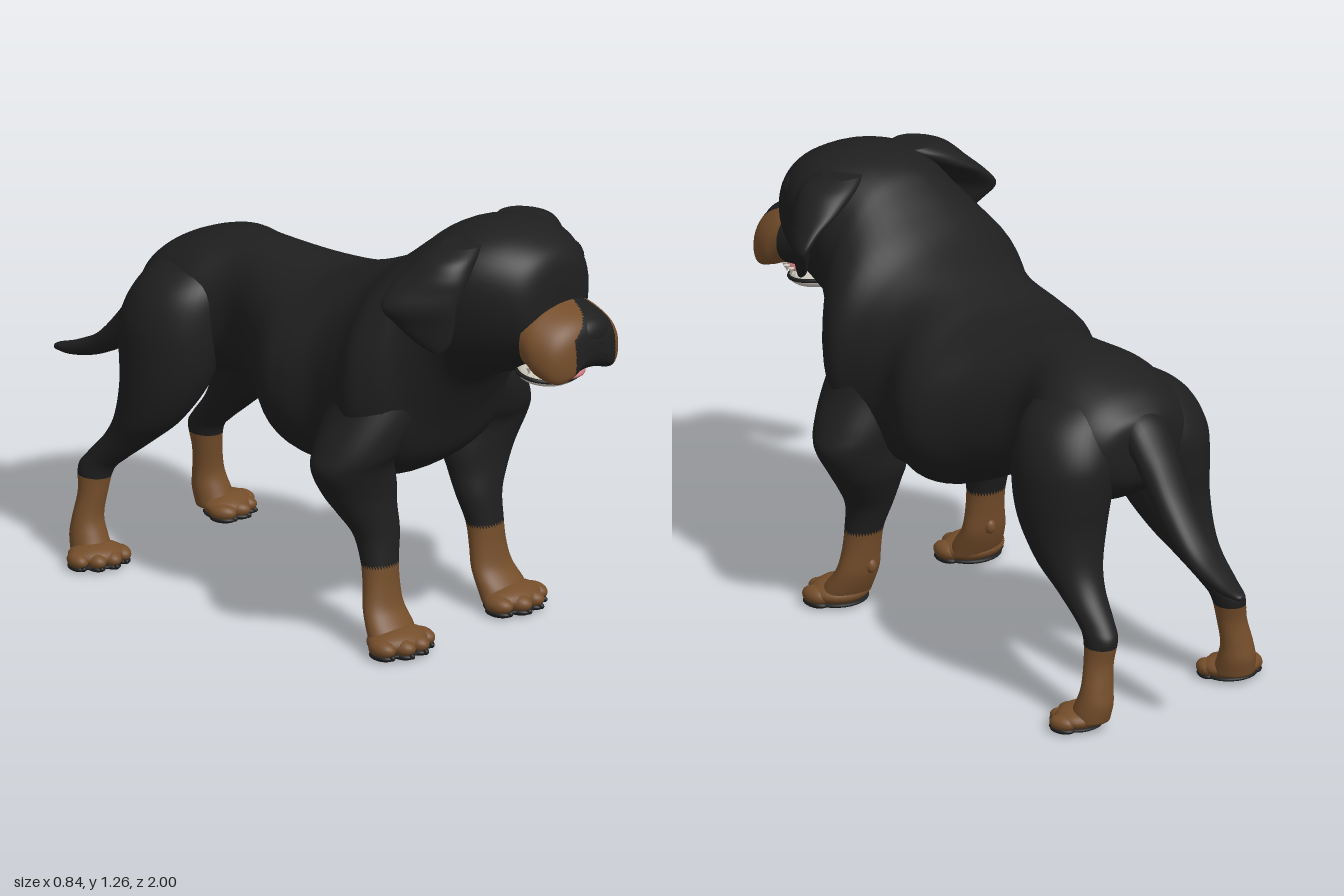
import * as THREE from 'three';

const mat = (name, color) => Object.assign(new THREE.MeshStandardMaterial({ color }), { name });

// Smoothly resamples a list of stations, each a row of numbers
function resample(rows, steps) {
  const out = [], n = rows.length - 1;
  for (let i = 0; i < n; i++) {
    const a = rows[Math.max(i - 1, 0)], b = rows[i], c = rows[i + 1], d = rows[Math.min(i + 2, n)];
    for (let k = 0; k < steps; k++) {
      const t = k / steps;
      out.push(b.map((v, j) => v + 0.5 * t * (c[j] - a[j] +
        t * (2 * a[j] - 5 * v + 4 * c[j] - d[j] + t * (3 * (v - c[j]) + d[j] - a[j])))));
    }
  }
  out.push(rows[n]);
  return out;
}

// Closed skin through rings; pick(centroid) gives the material index of a face
function skin(name, rows, ring, materials, pick = () => 0, sides = 40, steps = 6) {
  const list = resample(rows, steps), pos = [], faces = materials.map(() => []);
  for (const r of list) for (let j = 0; j < sides; j++) pos.push(...ring(r, (j / sides) * Math.PI * 2));
  const last = (list.length - 1) * sides;
  for (const start of [0, last]) {
    const c = [0, 0, 0];
    for (let j = 0; j < sides; j++) for (let k = 0; k < 3; k++) c[k] += pos[(start + j) * 3 + k] / sides;
    pos.push(...c);
  }
  const tri = (...v) => {
    const c = [0, 1, 2].map(k => (pos[v[0] * 3 + k] + pos[v[1] * 3 + k] + pos[v[2] * 3 + k]) / 3);
    faces[pick(c)].push(...v);
  };
  const endA = last + sides;
  for (let j = 0; j < sides; j++) {
    const m = (j + 1) % sides;
    tri(endA, m, j);
    tri(endA + 1, last + j, last + m);
    for (let i = 0; i < last; i += sides) {
      tri(i + j, i + m, i + sides + j);
      tri(i + m, i + sides + m, i + sides + j);
    }
  }
  const geo = new THREE.BufferGeometry();
  geo.setAttribute('position', new THREE.Float32BufferAttribute(pos, 3));
  geo.setIndex(faces.flat());
  let at = 0;
  faces.forEach((f, i) => { geo.addGroup(at, f.length, i); at += f.length; });
  geo.computeVertexNormals();
  const mesh = new THREE.Mesh(geo, materials);
  mesh.name = name;
  return mesh;
}

// Upright ring: [z, top, bottom, halfWidth, lowerBulge, centreX]
const slice = ([z, top, bottom, w, k, cx], a) => {
  const c = Math.cos(a), s = Math.sin(a);
  return [cx + w * Math.sign(c) * Math.abs(c) ** 0.88 * (1 - k * s),
    (top + bottom) / 2 + (top - bottom) / 2 * Math.sign(s) * Math.abs(s) ** 0.92, z];
};
// Level ring: [y, x, z, radiusX, radiusZ, turn], on side s
const level = s => ([y, x, z, rx, rz, turn = 0], a) => {
  const px = rx * Math.cos(a), pz = -rz * Math.sin(a), c = Math.cos(turn * s), n = Math.sin(turn * s);
  return [s * x + px * c + pz * n, y, z - px * n + pz * c];
};

function blob(name, material, p, r, tilt = 0) {
  const mesh = new THREE.Mesh(new THREE.SphereGeometry(1, 24, 16), material);
  mesh.name = name;
  mesh.position.set(...p);
  mesh.scale.set(...r);
  mesh.rotation.x = tilt;
  return mesh;
}

export function createModel() {
  const black = mat('black coat', 0x1f1f1f), tan = mat('tan markings', 0x754e2b);
  const pink = mat('tongue pink', 0xcf7d82), cream = mat('tooth cream', 0xd0ccc0);
  const dog = new THREE.Group();
  dog.name = 'dog';

  // Trunk, neck and skull
  dog.add(skin('body', [
    [-0.572, 0.86, 0.72, 0.07, 0, 0.025], [-0.55, 0.885, 0.66, 0.15, 0, 0.025],
    [-0.48, 0.935, 0.6, 0.21, 0, 0.025], [-0.35, 0.98, 0.57, 0.225, 0, 0.025],
    [-0.2, 0.99, 0.58, 0.168, 0, 0.02], [-0.05, 0.975, 0.53, 0.24, 0, 0.015],
    [0.07, 0.97, 0.47, 0.325, 0, 0.01], [0.15, 0.99, 0.44, 0.335, 0, 0.01],
    [0.25, 1.03, 0.432, 0.305, 0.02, 0], [0.35, 1.075, 0.44, 0.325, 0.03, 0],
    [0.43, 1.13, 0.47, 0.352, 0.03, 0], [0.5, 1.187, 0.53, 0.32, 0.06, 0],
    [0.552, 1.228, 0.65, 0.268, 0.02, 0], [0.62, 1.255, 0.77, 0.238, -0.08, 0.005],
    [0.7, 1.265, 0.812, 0.228, -0.18, 0.012], [0.78, 1.252, 0.845, 0.2, -0.18, 0.022],
    [0.85, 1.217, 0.9, 0.158, -0.1, 0.03], [0.882, 1.175, 0.92, 0.115, -0.05, 0.035],
    [0.893, 1.11, 0.95, 0.05, 0, 0.04],
  ], slice, [black], undefined, 56));

  dog.add(skin('tail', [
    [-1, 0.469, 0.458, 0.008, 0, 0.035], [-0.985, 0.477, 0.455, 0.02, 0, 0.035],
    [-0.92, 0.5, 0.458, 0.035, 0, 0.033], [-0.82, 0.555, 0.485, 0.048, 0, 0.03],
    [-0.72, 0.665, 0.54, 0.055, 0, 0.028], [-0.65, 0.77, 0.62, 0.06, 0, 0.025],
    [-0.58, 0.862, 0.73, 0.07, 0, 0.025], [-0.5, 0.9, 0.78, 0.07, 0, 0.025],
  ], slice, [black], undefined, 28));
  dog.add(blob('bellySheath', black, [0.015, 0.56, -0.125], [0.028, 0.038, 0.065], -0.1));

  // Muzzle with tan cheeks beside a dark central stripe; lip lifted in the middle and at the corners
  dog.add(skin('muzzle', [
    [0.76, 1.07, 0.885, 0.13, 0, 0.035], [0.86, 1.064, 0.86, 0.15, 0.02, 0.04],
    [0.91, 1.052, 0.825, 0.157, 0.04, 0.043], [0.96, 1.03, 0.808, 0.142, 0.03, 0.047],
    [0.988, 1, 0.835, 0.105, 0, 0.052], [0.998, 0.96, 0.89, 0.05, 0, 0.058],
  ], (r, a) => {
    const p = slice(r, a);
    if (a > Math.PI) p[1] += 0.066 * THREE.MathUtils.smoothstep(r[0], 0.83, 0.93) * Math.sin(a) ** 4;
    return p;
  }, [black, tan], ([x, y, z]) => {
    const left = -0.02 + Math.max(0, y - 0.98) * 1.3;
    const right = 0.147 - Math.max(0, y - 1) * 0.4;
    return z < 0.858 || (x > left && x < right) ? 0 : 1;
  }, 128, 12));
  dog.add(blob('nose', black, [0.07, 0.978, 0.96], [0.075, 0.045, 0.039]));
  for (const s of [-1, 1]) {
    dog.add(blob('nostril', black, [0.07 + s * 0.045, 0.965, 0.97], [0.027, 0.025, 0.022]));
    dog.add(blob('brow', black, [0.035 + s * 0.095, 1.14, 0.78], [0.085, 0.06, 0.08]));
    dog.add(blob('eye', black, [0.035 + s * 0.125, 1.095, 0.826], [0.026, 0.018, 0.02]));
  }

  // Open mouth, the lower jaw dropping towards the front
  const drop = 0.14;
  dog.add(blob('lowerJaw', cream, [0.045, 0.842, 0.832], [0.1, 0.034, 0.084], drop));
  dog.add(blob('tongue', pink, [0.052, 0.858, 0.862], [0.072, 0.023, 0.082], drop));
  const lip = new THREE.Mesh(new THREE.TorusGeometry(0.099, 0.006, 8, 36), black);
  lip.name = 'lowerLip';
  lip.rotation.x = Math.PI / 2 + drop;
  lip.position.set(0.045, 0.844, 0.834);
  lip.scale.y = 0.85;
  dog.add(lip);
  for (let i = 0; i < 13; i++) {
    const a = Math.PI * (0.02 + 0.08 * i), long = i === 3 || i === 9 ? 1.5 : 1;
    const upper = new THREE.Mesh(new THREE.ConeGeometry(0.009, 0.02 * long, 8), cream);
    upper.name = 'upperTooth';
    upper.position.set(0.047 + 0.1 * Math.cos(a), 0.866, 0.84 + 0.1 * Math.sin(a));
    upper.rotation.x = Math.PI;
    const lower = new THREE.Mesh(new THREE.ConeGeometry(0.008, 0.016 * long, 8), cream);
    lower.name = 'lowerTooth';
    lower.position.set(0.045 + 0.09 * Math.cos(a), 0.856 - 0.011 * Math.sin(a), 0.834 + 0.077 * Math.sin(a));
    dog.add(upper, lower);
  }

  // Paw: palm, four toes, claws and a dark sole
  const paw = (name, x, z, turn, size) => {
    const g = new THREE.Group();
    g.name = name;
    g.add(blob('palm', tan, [0, 0.04, 0.027], [0.095, 0.037, 0.076]));
    g.add(blob('sole', black, [0, 0.014, 0.03], [0.088, 0.014, 0.076]));
    for (const tx of [-0.077, -0.027, 0.027, 0.077]) {
      const tz = Math.abs(tx) > 0.05 ? 0.045 : 0.073;
      g.add(blob('toe', tan, [tx, 0.034, tz], [0.031, 0.026, 0.046]));
      g.add(blob('toePad', black, [tx, 0.013, tz], [0.029, 0.013, 0.044]));
      g.add(blob('claw', black, [tx, 0.016, tz + 0.038], [0.008, 0.009, 0.012]));
    }
    g.position.set(x, 0, z);
    g.rotation.y = turn;
    g.scale.setScalar(size);
    dog.add(g);
  };

  const sock = ([, y]) => (y < 0.245 ? 1 : 0);
  for (const s of [-1, 1]) {
    const side = s > 0 ? 'left' : 'right';
    // Front leg, paw and dewclaw
    dog.add(skin(side + 'FrontLeg', [
      [0.03, 0.235, 0.505, 0.085, 0.052], [0.07, 0.232, 0.485, 0.08, 0.053],
      [0.12, 0.227, 0.457, 0.071, 0.044], [0.18, 0.223, 0.446, 0.062, 0.043],
      [0.25, 0.22, 0.437, 0.06, 0.048],
      [0.33, 0.215, 0.42, 0.075, 0.058], [0.4, 0.233, 0.4, 0.1, 0.072],
      [0.46, 0.25, 0.388, 0.125, 0.085], [0.54, 0.28, 0.39, 0.138, 0.1],
      [0.6, 0.265, 0.4, 0.135, 0.12], [0.7, 0.218, 0.41, 0.13, 0.13],
      [0.8, 0.18, 0.4, 0.13, 0.12], [0.9, 0.14, 0.38, 0.08, 0.08],
    ], level(s), [black, tan], sock));
    paw(side + 'FrontPaw', s * 0.237, 0.492, s * 0.06, 1);
    dog.add(blob('dewclaw', tan, [s * 0.215, 0.135, 0.414], [0.016, 0.022, 0.016]));

    // Hind leg and paw
    const ring = level(s);
    dog.add(skin(side + 'HindLeg', [
      [0.03, 0.262, -0.6, 0.06, 0.06], [0.08, 0.257, -0.618, 0.055, 0.053],
      [0.13, 0.252, -0.624, 0.048, 0.042],
      [0.2, 0.24, -0.617, 0.043, 0.042], [0.27, 0.23, -0.614, 0.045, 0.055],
      [0.31, 0.222, -0.582, 0.049, 0.062], [0.38, 0.21, -0.51, 0.065, 0.076],
      [0.45, 0.2, -0.455, 0.09, 0.1], [0.55, 0.185, -0.418, 0.12, 0.128],
      [0.65, 0.175, -0.408, 0.135, 0.15], [0.75, 0.16, -0.405, 0.143, 0.158],
      [0.84, 0.13, -0.39, 0.135, 0.14], [0.9, 0.085, -0.38, 0.105, 0.105],
      [0.935, 0.04, -0.37, 0.05, 0.05],
    ], (r, a) => {
      const p = ring(r, a);
      p[0] += 0.025 * THREE.MathUtils.smoothstep(r[0], 0.2, 0.7);
      return p;
    }, [black, tan], sock));
    paw(side + 'HindPaw', s * 0.265, -0.597, s * 0.35, 0.88);

    // Hanging ear with a thick root in the skull, its rear edge flared outward
    const ear = skin(side + 'Ear', [
      [0.948, 0.262, 0.685, 0.008, 0.015, -0.6], [0.975, 0.268, 0.675, 0.016, 0.048, -0.6],
      [1.03, 0.284, 0.658, 0.022, 0.083, -0.6], [1.08, 0.296, 0.645, 0.03, 0.106, -0.6],
      [1.13, 0.265, 0.648, 0.043, 0.104, -0.5], [1.17, 0.222, 0.652, 0.064, 0.094, -0.35],
      [1.21, 0.175, 0.656, 0.075, 0.078, -0.2], [1.235, 0.13, 0.66, 0.06, 0.055, 0],
    ], level(s), [black]);
    ear.position.z = s > 0 ? -0.02 : 0.022;
    ear.position.x = s > 0 ? 0 : -0.018;
    dog.add(ear);
  }
  return dog;
}
